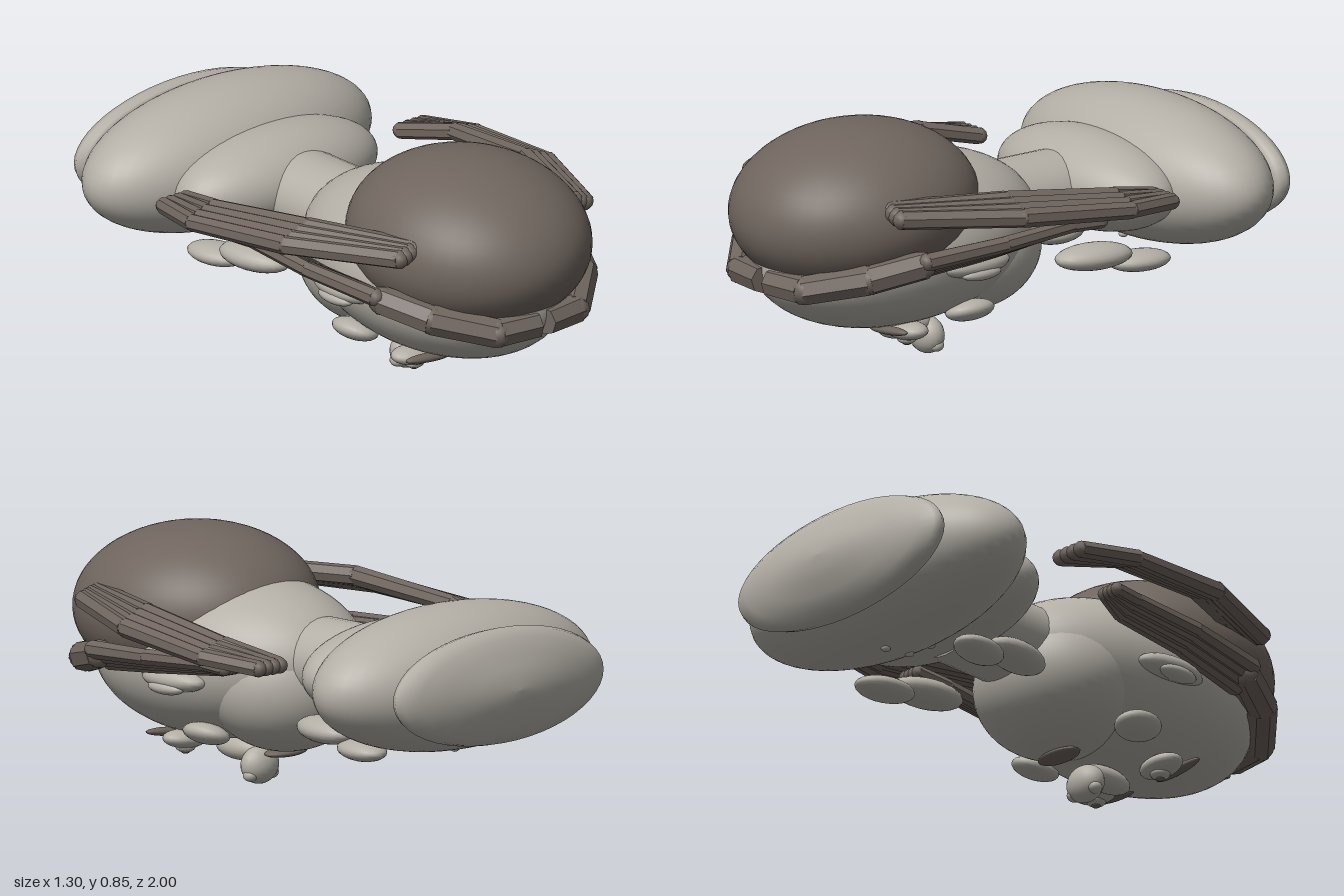
import * as THREE from 'three';

const light = new THREE.MeshStandardMaterial({ color: 0xb3afa6 });
light.name = 'pale stone';
const dark = new THREE.MeshStandardMaterial({ color: 0x6f655e });
dark.name = 'dark brown';

export function createModel() {
  const model = new THREE.Group();
  model.name = 'bust';

  // Ellipsoid from centre, radii and optional rotation
  function blob(name, pos, radii, mat = light, rot = [0, 0, 0]) {
    const small = Math.max(...radii) < 0.16;
    const mesh = new THREE.Mesh(new THREE.SphereGeometry(1, small ? 20 : 48, small ? 14 : 32), mat);
    mesh.name = name;
    mesh.position.set(...pos);
    mesh.scale.set(...radii);
    mesh.rotation.set(...rot);
    model.add(mesh);
    return mesh;
  }

  // Same ellipsoid on both sides
  function pair(name, [x, y, z], radii, mat = light, [rx, ry, rz] = [0, 0, 0]) {
    blob(name + 'Left', [x, y, z], radii, mat, [rx, ry, rz]);
    blob(name + 'Right', [-x, y, z], radii, mat, [rx, -ry, -rz]);
  }

  // Faceted rod through a list of points, with rounded joints
  function rod(name, points, radii, side, roundStart = true) {
    const group = new THREE.Group();
    group.name = name;
    const pts = points.map(([x, y, z]) => new THREE.Vector3(x * side, y, z));
    const up = new THREE.Vector3(0, 1, 0);
    pts.forEach((p, i) => {
      if (i > 0 || roundStart) {
        const joint = new THREE.Mesh(new THREE.SphereGeometry(radii[i] * 0.97, 8, 6), dark);
        joint.name = 'joint';
        joint.position.copy(p);
        group.add(joint);
      }
      if (i === pts.length - 1) return;
      const dir = pts[i + 1].clone().sub(p);
      const geo = new THREE.CylinderGeometry(radii[i + 1], radii[i], dir.length(), 7).toNonIndexed();
      geo.computeVertexNormals();
      const seg = new THREE.Mesh(geo, dark);
      seg.name = 'segment';
      seg.position.copy(p).addScaledVector(dir, 0.5);
      seg.quaternion.setFromUnitVectors(up, dir.normalize());
      group.add(seg);
    });
    model.add(group);
  }

  // Head, jaw and hair
  blob('head', [0, 0.425, 0.4], [0.36, 0.283, 0.54], light, [0.07, 0, 0]);
  blob('jaw', [0, 0.37, 0.125], [0.29, 0.238, 0.27]);
  blob('hairCap', [0, 0.565, 0.565], [0.392, 0.28, 0.435], dark, [0.06, 0, 0]);

  // Face, pointing down
  blob('noseBridge', [0, 0.11, 0.35], [0.05, 0.042, 0.11]);
  blob('noseTip', [0, 0.065, 0.26], [0.074, 0.065, 0.052]);
  pair('nostril', [0.047, 0.035, 0.255], [0.026, 0.022, 0.026]);
  pair('cheek', [0.24, 0.2, 0.265], [0.07, 0.036, 0.09], light, [0, 0, 0.3]);
  pair('eye', [0.155, 0.145, 0.46], [0.085, 0.032, 0.058], light, [0, 0, 0.1]);
  pair('iris', [0.15, 0.118, 0.46], [0.034, 0.02, 0.034]);
  pair('pupil', [0.15, 0.1, 0.46], [0.015, 0.007, 0.015], dark);
  pair('brow', [0.155, 0.158, 0.54], [0.1, 0.015, 0.022], dark, [0, 0, 0.1]);
  blob('mouth', [0, 0.125, 0.135], [0.09, 0.016, 0.045], dark);
  pair('ear', [0.335, 0.39, 0.32], [0.065, 0.042, 0.14]);
  pair('innerEar', [0.372, 0.365, 0.32], [0.035, 0.024, 0.08]);

  // Neck
  const neck = new THREE.Mesh(new THREE.CylinderGeometry(0.165, 0.165, 0.42, 32), light);
  neck.name = 'neck';
  neck.rotation.x = Math.PI / 2;
  neck.scale.z = 0.87;
  neck.position.set(0, 0.462, -0.19);
  model.add(neck);

  // Upper chest and shoulders
  blob('upperChest', [0, 0.49, -0.42], [0.41, 0.165, 0.205]);
  blob('shoulders', [0, 0.495, -0.67], [0.592, 0.245, 0.268]);

  // Domed base at the back
  const profile = [[0, 0], [0.9, 0], [0.97, 0.015], [1, 0.04], [0.97, 0.065], [0.85, 0.09],
    [0.65, 0.112], [0.4, 0.133], [0.2, 0.146], [0, 0.15]].map(([r, h]) => new THREE.Vector2(r, h));
  const base = new THREE.Mesh(new THREE.LatheGeometry(profile, 48), light);
  base.name = 'base';
  base.rotation.x = -Math.PI / 2;
  base.scale.set(0.472, 1, 0.196);
  base.position.set(0, 0.49, -0.85);
  model.add(base);

  // Collar lobes and front buttons
  pair('collar', [0.21, 0.285, -0.28], [0.075, 0.045, 0.14], light, [0, -0.2, 0]);
  pair('collarTip', [0.22, 0.243, -0.465], [0.07, 0.036, 0.112], light, [0, -0.2, 0]);
  for (const z of [-0.47, -0.57, -0.68]) {
    const y = 0.495 - 0.245 * Math.sqrt(1 - ((z + 0.67) / 0.268) ** 2);
    blob('button', [0, y, z], [0.016, 0.012, 0.016]);
  }

  // Long locks on both sides, four strands in each bundle
  for (const side of [1, -1]) {
    for (let i = 0; i < 4; i++) {
      const o = (i - 1.5) * 0.032;
      rod('upperLock', [
        [0.37 + o * 0.7, 0.625 - o * 0.2, 0.68], [0.525 + o, 0.615 - o * 0.4, 0.3],
        [0.572 + o, 0.575 - o * 0.3, -0.12], [0.518 + o, 0.543, -0.33],
      ], [0.034, 0.034, 0.03, 0.029], side);
      rod('lowerLock', [
        [0.4 + o * 0.8, 0.44 + o * 0.5, 0.6], [0.44 + o * 0.8, 0.465 + o * 0.4, 0.3],
        [0.44 + o * 0.8, 0.487 + o * 0.3, 0.02], [0.465 + o * 0.6, 0.5, -0.09],
      ], [0.032, 0.028, 0.025, 0.024], side);
    }
    // Thick front band
    rod('frontBand', [
      [0.02, 0.36, 0.93], [0.17, 0.36, 0.91], [0.33, 0.405, 0.76], [0.41, 0.445, 0.6],
    ], [0.048, 0.05, 0.052, 0.05], side, false);
  }

  return model;
}
